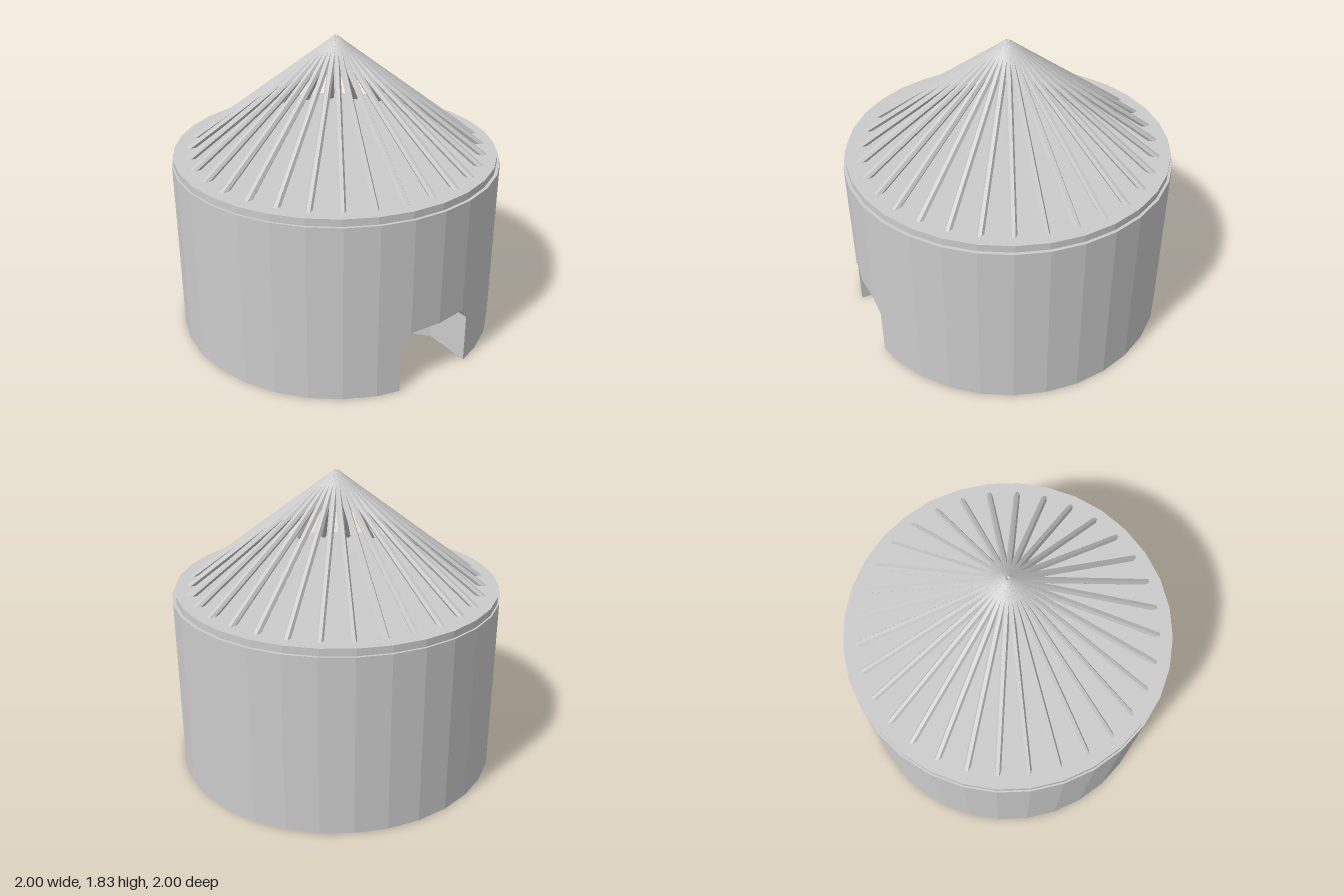
import * as THREE from 'three';

const SIDES = 32;
const STEP = (Math.PI * 2) / SIDES;
const WALL_TOP = 1.095, DOOR_TOP = 0.385, LID_TOP = 1.138;
const DOOR_WIDE = 0.25, DOOR_NARROW = 0.18, CHAMFER_START = 0.305;

const ringPoint = (k) => [Math.cos(k * STEP), Math.sin(k * STEP)];

// x of the faceted wall at a given z near the doorway
function wallX(z) {
  const k = z <= ringPoint(1)[1] ? 0 : 1;
  const [x0, z0] = ringPoint(k), [x1, z1] = ringPoint(k + 1);
  return x0 + ((x1 - x0) * (z - z0)) / (z1 - z0);
}

// recess outline in plan, its rear corners cut off
function recess(w) {
  const rearX = 0.54 + ((w - 0.13) * 0.13) / 0.12;
  return [[wallX(w), -w], [rearX, -w], [0.54, -0.13], [0.54, 0.13], [rearX, w], [wallX(w), w]];
}

// whole wall outline in plan with the doorway cut to half width w
function outline(w) {
  const z1 = Math.max(w, ringPoint(1)[1]);
  const pts = [[wallX(z1), z1]];
  for (let k = 2; k <= SIDES - 2; k++) pts.push(ringPoint(k));
  pts.push([wallX(z1), -z1]);
  return pts.concat(recess(w));
}

// join stacked outlines of equal length with flat faces
function loft(levels) {
  const pos = [];
  for (let j = 0; j < levels.length - 1; j++) {
    const lo = levels[j], hi = levels[j + 1], n = lo.pts.length;
    for (let i = 0; i < n; i++) {
      const p = (l, m) => [l.pts[m % n][0], l.y, l.pts[m % n][1]];
      const a0 = p(lo, i), b0 = p(lo, i + 1), a1 = p(hi, i), b1 = p(hi, i + 1);
      pos.push(...b0, ...a0, ...a1, ...b0, ...a1, ...b1);
    }
  }
  const g = new THREE.BufferGeometry();
  g.setAttribute('position', new THREE.Float32BufferAttribute(pos, 3));
  g.computeVertexNormals();
  return g;
}

// flat face looking down
function underside(pts, y) {
  const shape = new THREE.Shape(pts.map(([x, z]) => new THREE.Vector2(x, z)));
  return new THREE.ShapeGeometry(shape).rotateX(Math.PI / 2).translate(0, y, 0);
}

export function createModel() {
  const model = new THREE.Group();
  const grey = new THREE.MeshStandardMaterial({ color: 0xcccccc, flatShading: true });
  const add = (name, geometry, parent = model) => {
    const mesh = new THREE.Mesh(geometry, grey);
    mesh.name = name;
    parent.add(mesh);
    return mesh;
  };

  // lower wall with the chamfered doorway recess
  const wMid = ringPoint(1)[1];
  const yMid = CHAMFER_START +
    ((DOOR_TOP - CHAMFER_START) * (DOOR_WIDE - wMid)) / (DOOR_WIDE - DOOR_NARROW);
  add('lowerWall', loft([
    [DOOR_WIDE, 0], [DOOR_WIDE, CHAMFER_START], [wMid, yMid], [DOOR_NARROW, DOOR_TOP],
  ].map(([w, y]) => ({ pts: outline(w), y }))));
  add('floor', underside(outline(DOOR_WIDE), 0));
  add('doorwayCeiling', underside([...recess(DOOR_NARROW), [1, 0]], DOOR_TOP));

  // upper wall and its narrow top ledge
  const upper = new THREE.CylinderGeometry(1, 1, WALL_TOP - DOOR_TOP, SIDES, 1, true);
  add('upperWall', upper.translate(0, (WALL_TOP + DOOR_TOP) / 2, 0));
  add('wallLedge', new THREE.RingGeometry(0.9, 1, SIDES).rotateX(-Math.PI / 2).translate(0, WALL_TOP, 0));

  // flat lid, slightly inset
  const lid = new THREE.CylinderGeometry(0.985, 0.985, 0.06, SIDES);
  add('lid', lid.translate(-0.003, LID_TOP - 0.03, 0.004));

  // ring of rafters meeting at the peak
  const rafters = new THREE.Group();
  rafters.name = 'rafters';
  const reach = 0.91, base = 1.12, peak = 1.815;
  const rafter = new THREE.CylinderGeometry(0.02, 0.02, Math.hypot(reach, peak - base), 6)
    .rotateZ(Math.atan2(reach, peak - base))
    .translate(reach / 2, (base + peak) / 2, 0);
  for (let i = 0; i < SIDES; i++) add('rafter', rafter, rafters).rotation.y = i * STEP;
  model.add(rafters);

  return model;
}
